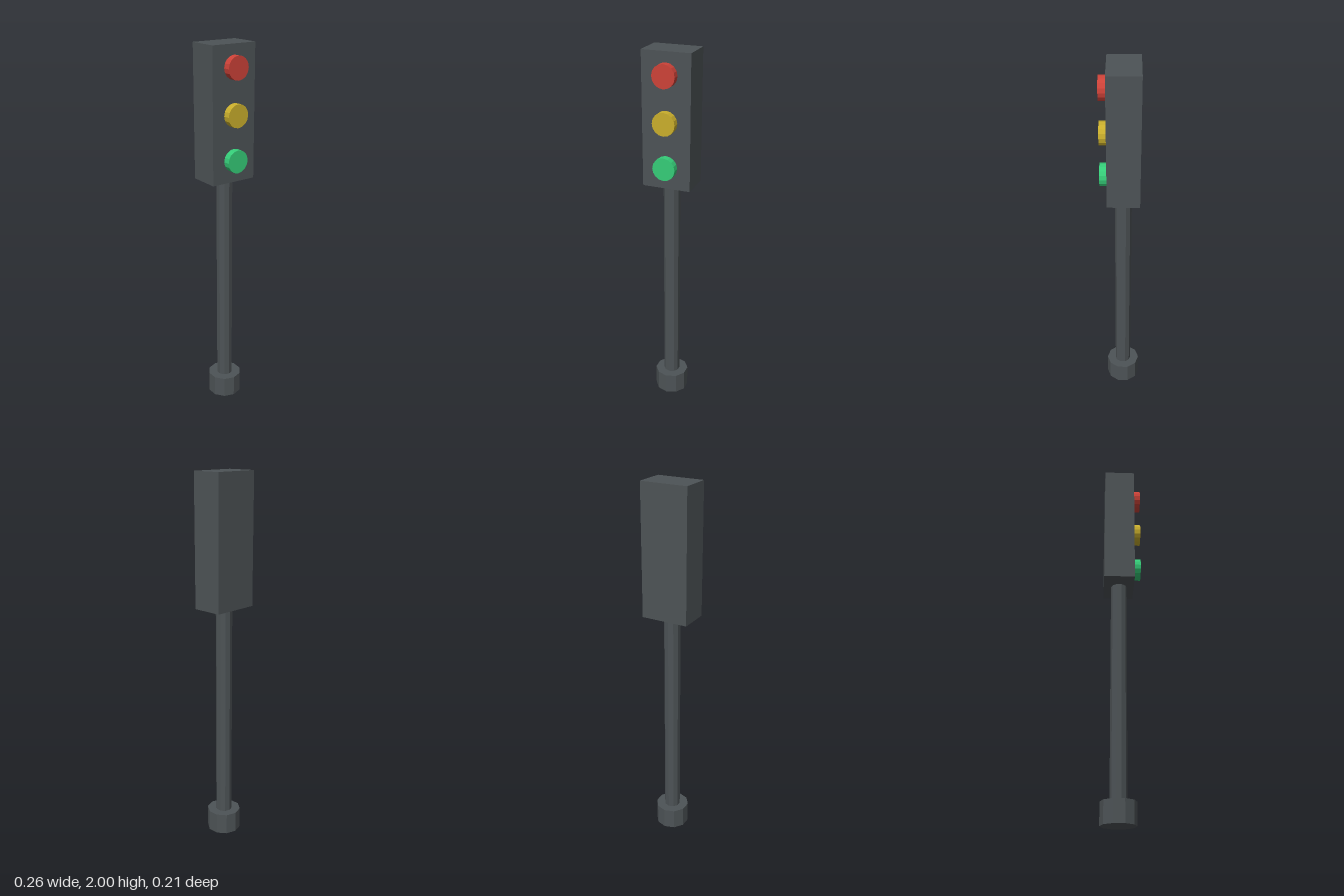
import * as THREE from 'three';

export function createModel() {
  const model = new THREE.Group();
  model.name = 'trafficLight';

  const material = (name, color) => {
    const m = new THREE.MeshStandardMaterial({ color });
    m.name = name;
    return m;
  };
  const grey = material('dark grey', 0x4d5356);

  const add = (name, geometry, mat, x, y, z) => {
    // Separate faces give crisp low-poly facets
    const flat = geometry.toNonIndexed();
    flat.computeVertexNormals();
    const mesh = new THREE.Mesh(flat, mat);
    mesh.name = name;
    mesh.position.set(x, y, z);
    model.add(mesh);
  };

  // Ten-sided foot and pole, set slightly behind the centre
  const axisZ = -0.0145;
  add('base', new THREE.CylinderGeometry(0.0925, 0.0925, 0.117, 10), grey, 0, 0.0585, axisZ);
  add('pole', new THREE.CylinderGeometry(0.044, 0.044, 1.21, 10), grey, 0, 0.715, axisZ);

  // Signal housing
  add('housing', new THREE.BoxGeometry(0.256, 0.695, 0.167), grey, 0, 1.6525, -0.0155);

  // Three round lamps protruding from the front
  const lamps = [
    ['redLamp', material('red', 0xcc4238), 1.888],
    ['yellowLamp', material('yellow', 0xc9ae2c), 1.654],
    ['greenLamp', material('green', 0x35cc78), 1.421],
  ];
  for (const [name, mat, y] of lamps) {
    const lamp = new THREE.CylinderGeometry(0.06, 0.06, 0.046, 16).rotateX(Math.PI / 2);
    add(name, lamp, mat, 0, y, 0.083);
  }

  return model;
}
